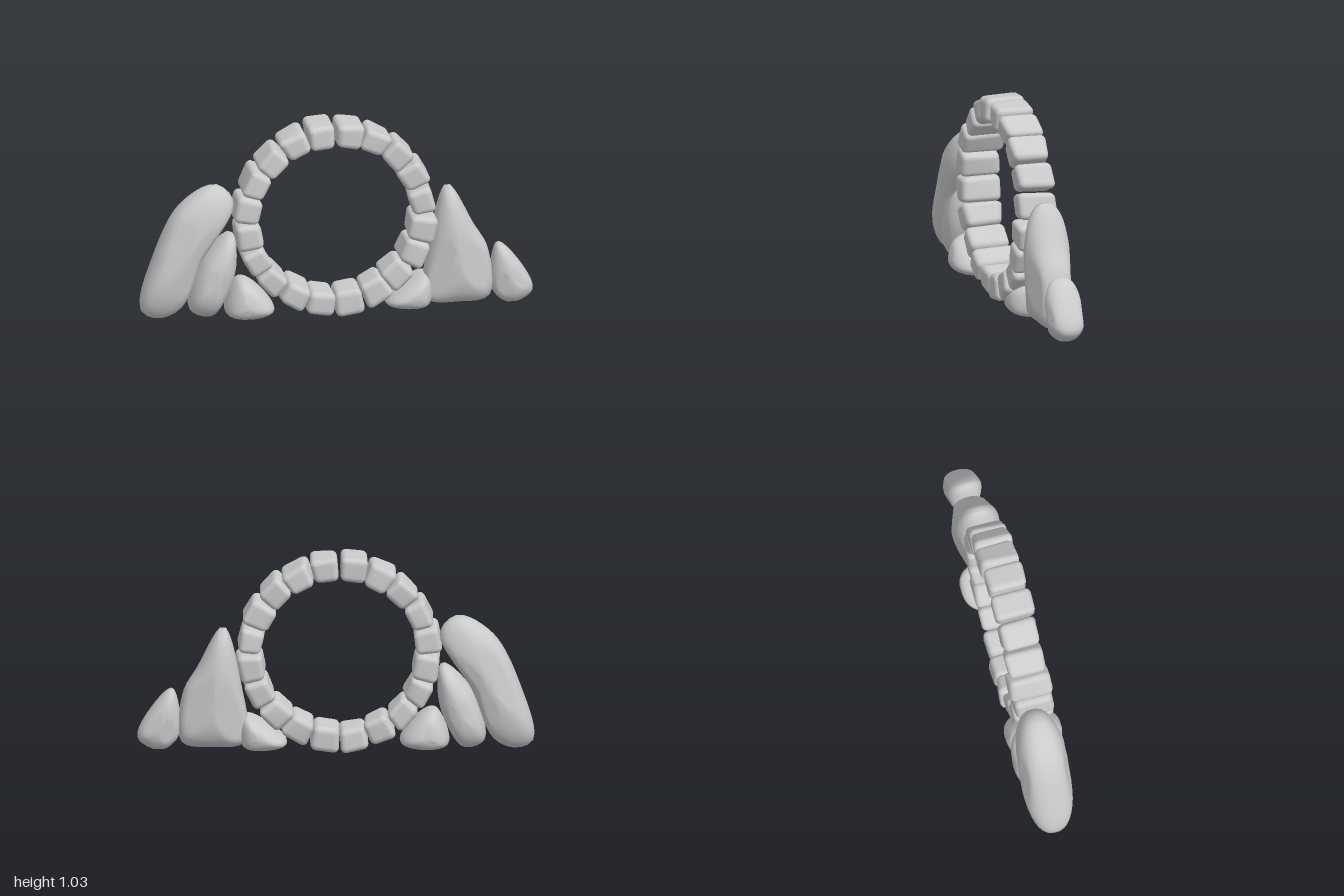
import * as THREE from 'three';
import { mergeVertices } from 'three/addons/utils/BufferGeometryUtils.js';
import { RoundedBoxGeometry } from 'three/addons/geometries/RoundedBoxGeometry.js';

const material = new THREE.MeshStandardMaterial({ color: 0xcccccc });

// Seeded random number in -1..1
let seed = 7;
function rand() {
  seed = (seed * 16807) % 2147483647;
  return (seed / 2147483647) * 2 - 1;
}

// Rounded block whose eight corners are each pushed a little out of place
function stoneGeometry(width, height, depth) {
  let geo = new RoundedBoxGeometry(width, height, depth, 3, 0.03);
  geo.deleteAttribute('uv');
  geo.deleteAttribute('normal');
  geo = mergeVertices(geo, 1e-4);
  const corners = Array.from({ length: 8 }, () =>
    new THREE.Vector3(rand() * 0.007, rand() * 0.01, rand() * 0.011));
  const pos = geo.attributes.position;
  const p = new THREE.Vector3();
  for (let i = 0; i < pos.count; i++) {
    p.fromBufferAttribute(pos, i);
    const u = p.x / width + 0.5, v = p.y / height + 0.5, w = p.z / depth + 0.5;
    // Wedge shape: narrower towards the middle of the ring
    p.x *= 0.9 + 0.14 * v;
    corners.forEach((c, k) => {
      const weight = (k & 1 ? u : 1 - u) * (k & 2 ? v : 1 - v) * (k & 4 ? w : 1 - w);
      p.addScaledVector(c, weight);
    });
    pos.setXYZ(i, p.x, p.y, p.z);
  }
  geo.computeVertexNormals();
  return geo;
}

// Boulder: a clockwise front outline shrinking to a pole at the front and back,
// with each bulge trimmed by two sloping planes that meet in a soft ridge
function boulderGeometry(outline, pole, back, front, ridgeAngle) {
  const curve = new THREE.CatmullRomCurve3(
    outline.map(([x, y]) => new THREE.Vector3(x, y, 0)), true);
  const around = 48, layers = 20;
  const rim = curve.getSpacedPoints(around).slice(0, around);
  const zMid = (back + front) / 2, half = (front - back) / 2;
  const positions = [], index = [];
  for (let k = 0; k <= layers; k++) {
    const a = (k / layers - 0.5) * Math.PI;
    const scale = Math.pow(Math.max(Math.cos(a), 0), 0.8);
    const t = Math.sign(a) * Math.pow(Math.abs(Math.sin(a)), 0.85);
    for (const r of rim) {
      const dx = (r.x - pole[0]) * scale;
      const dy = (Math.max(r.y, 0.012) - pole[1]) * scale; // flat base
      const across = dx * Math.cos(ridgeAngle) + dy * Math.sin(ridgeAngle);
      const limit = half * 1.02 - Math.abs(across) * 0.35;
      const z = THREE.MathUtils.clamp(t * half, -limit, limit);
      positions.push(pole[0] + dx, pole[1] + dy, zMid + z);
    }
  }
  for (let k = 0; k < layers; k++) {
    for (let i = 0; i < around; i++) {
      const a = k * around + i, b = k * around + ((i + 1) % around);
      const c = a + around, d = b + around;
      if (k < layers - 1) index.push(a, c, d);
      if (k > 0) index.push(a, d, b);
    }
  }
  let geo = new THREE.BufferGeometry();
  geo.setAttribute('position', new THREE.Float32BufferAttribute(positions, 3));
  geo.setIndex(index);
  geo = mergeVertices(geo, 1e-4);
  geo.computeVertexNormals();
  return geo;
}

export function createModel() {
  const model = new THREE.Group();
  model.name = 'stoneRingGate';

  // Upright ring of twenty stones
  const ring = new THREE.Group();
  ring.name = 'stoneRing';
  ring.position.set(-0.015, 0.522, -0.005);
  const count = 20, radius = 0.446;
  for (let i = 0; i < count; i++) {
    const angle = ((i + 0.5) / count) * Math.PI * 2;
    const geo = stoneGeometry(0.138 + rand() * 0.004, 0.122 + rand() * 0.006, 0.204 + rand() * 0.012);
    const stone = new THREE.Mesh(geo, material);
    stone.name = 'ringStone';
    stone.position.set(Math.sin(angle) * radius, Math.cos(angle) * radius, rand() * 0.004);
    stone.rotation.z = -angle + rand() * 0.05;
    ring.add(stone);
  }
  model.add(ring);

  // Boulders propping the ring on both sides
  const addBoulder = (name, outline, pole, back, front, ridgeAngle) => {
    const boulder = new THREE.Mesh(boulderGeometry(outline, pole, back, front, ridgeAngle), material);
    boulder.name = name;
    model.add(boulder);
  };

  // Right side: a tall leaning boulder, a middle one and a small one
  addBoulder('tallRightBoulder',
    [[-0.99, 0.06], [-0.93, 0.33], [-0.79, 0.61], [-0.61, 0.71],
      [-0.52, 0.62], [-0.68, 0.33], [-0.79, 0.07], [-0.9, 0.02]],
    [-0.77, 0.37], -0.15, 0.105, -0.5);
  addBoulder('middleRightBoulder',
    [[-0.745, 0.06], [-0.68, 0.32], [-0.53, 0.455], [-0.51, 0.3], [-0.56, 0.13], [-0.64, 0.025]],
    [-0.62, 0.23], -0.15, 0.125, -0.4);
  addBoulder('smallRightBoulder',
    [[-0.565, 0.04], [-0.5, 0.215], [-0.43, 0.195], [-0.32, 0.05], [-0.43, 0.012]],
    [-0.45, 0.09], -0.14, 0.15, 1.2);

  // Left side: a small boulder, a tall pointed one and an outer one
  addBoulder('smallLeftBoulder',
    [[0.245, 0.045], [0.36, 0.15], [0.46, 0.185], [0.47, 0.035], [0.36, 0.012]],
    [0.38, 0.09], -0.15, 0.13, 2);
  addBoulder('tallLeftBoulder',
    [[0.455, 0.05], [0.475, 0.35], [0.565, 0.65], [0.7, 0.43], [0.77, 0.3], [0.775, 0.05], [0.62, 0.025]],
    [0.61, 0.28], -0.13, 0.11, 0.15);
  addBoulder('outerLeftBoulder',
    [[0.79, 0.08], [0.82, 0.325], [0.93, 0.22], [0.995, 0.07], [0.88, 0.008]],
    [0.88, 0.15], -0.1, 0.088, 0.4);
  return model;
}
